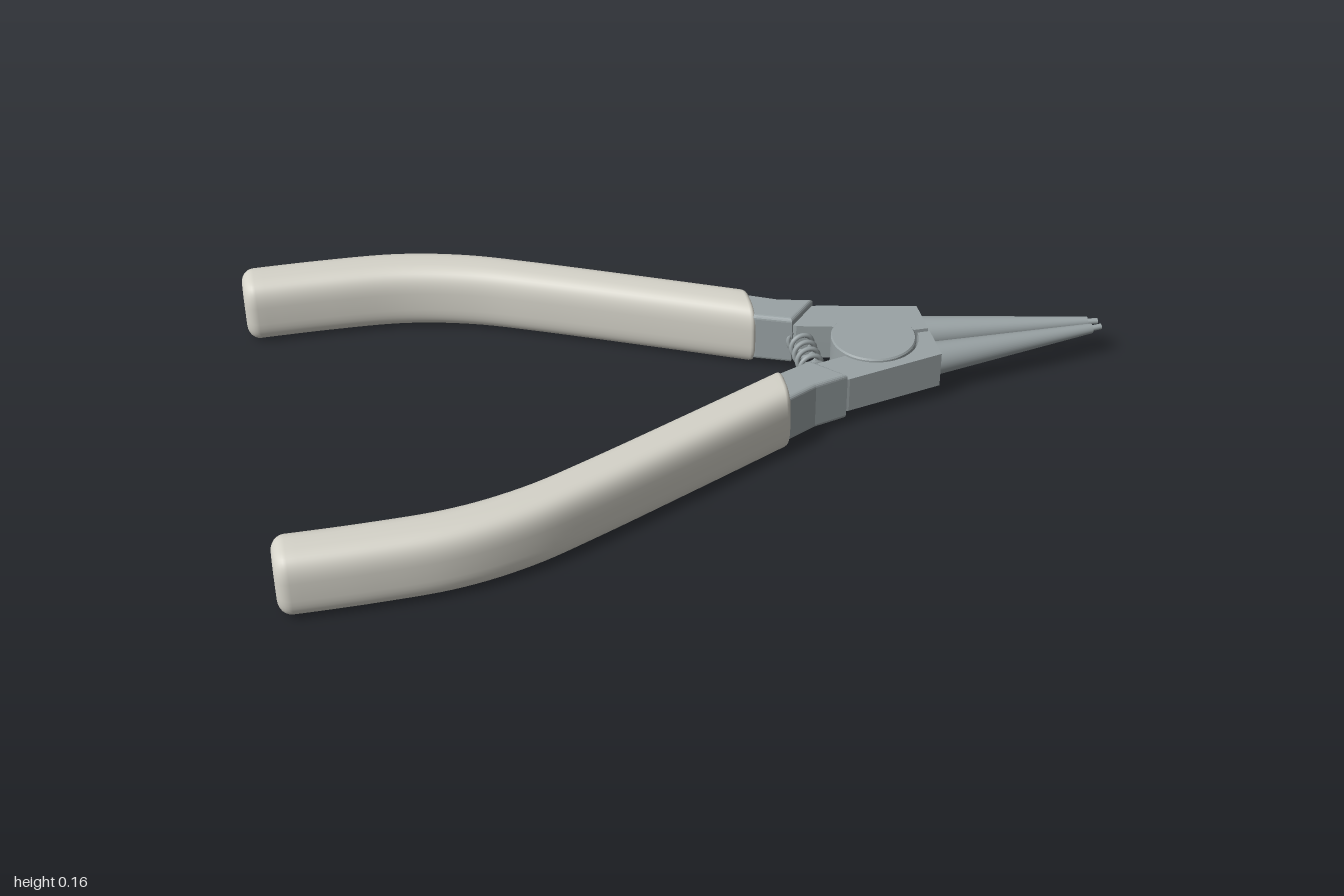
import * as THREE from 'three';

const MID = 0.082; // height of the joint's middle plane
const PIVOT_X = 0.436;
const gripMat = new THREE.MeshStandardMaterial({ color: 0xd6d4ca });
const metalMat = new THREE.MeshStandardMaterial({ color: 0x9aa3a5 });

function mesh(name, geometry, material = metalMat) {
  const m = new THREE.Mesh(geometry, material);
  m.name = name;
  return m;
}

// Plan outline (x, distance from the centre line) extruded upward from y0
function plate(shape, y0, height, bevel = 0) {
  const g = new THREE.ExtrudeGeometry(shape, {
    depth: height - 2 * bevel, curveSegments: 40, bevelEnabled: bevel > 0,
    bevelSize: bevel, bevelThickness: bevel, bevelOffset: -bevel, bevelSegments: 4,
  });
  g.rotateX(-Math.PI / 2);
  g.translate(0, y0 + bevel, 0);
  return g;
}

// Dipped sleeve: rounded sections swept along the handle, ends rounded over
function gripGeometry() {
  const path = new THREE.SplineCurve([
    [-1, 0.517], [-0.8, 0.517], [-0.62, 0.507], [-0.46, 0.468],
    [-0.3, 0.4], [-0.06, 0.286], [0.18, 0.17],
  ].map(([x, s]) => new THREE.Vector2(x, s)));
  const rings = []; // [path parameter, x shift, inset]
  const R0 = 0.03, R1 = 0.012, N = 48, SIDES = 48;
  for (let i = 0; i <= 6; i++) {
    const a = (i / 6) * Math.PI / 2;
    rings.push([0, R0 * (1 - Math.sin(a)), R0 * (1 - Math.sin(a)), R0 * (1 - Math.cos(a))]);
  }
  rings.length = 0;
  rings.push([0, 0, 1]);
  for (let i = 0; i <= 6; i++) {
    const a = (i / 6) * Math.PI / 2;
    rings.push([0, R0 * (1 - Math.sin(a)), R0 * (1 - Math.cos(a))].map((v, k) => (k ? [R0 * (1 - Math.cos(a)), R0 * (1 - Math.sin(a))][k - 1] : v)));
  }
  for (let i = 2; i < N - 1; i++) rings.push([i / N, 0, 0]);
  for (let i = 0; i <= 4; i++) {
    const a = (i / 4) * Math.PI / 2;
    rings.push([1, -R1 * (1 - Math.sin(a)), R1 * (1 - Math.cos(a))]);
  }
  rings.push([1, 0, 1]);

  const pos = [], index = [];
  const p = new THREE.Vector2();
  const pw = (v) => Math.sign(v) * Math.pow(Math.abs(v), 0.62);
  rings.forEach(([t, dx, inset], r) => {
    path.getPointAt(t, p);
    const slope = t === 1 ? -0.48 : 0;
    const w = Math.max(0.064 - inset, 0), h = Math.max(0.0815 - inset, 0);
    for (let j = 0; j < SIDES; j++) {
      const a = (j / SIDES) * Math.PI * 2;
      pos.push(p.x + dx, h * pw(Math.sin(a)), -(p.y + dx * slope) + w * pw(Math.cos(a)));
      if (r > 0) {
        const k = (j + 1) % SIDES, A = (r - 1) * SIDES, B = r * SIDES;
        index.push(A + j, B + j, A + k, A + k, B + j, B + k);
      }
    }
  });
  const g = new THREE.BufferGeometry();
  g.setAttribute('position', new THREE.Float32BufferAttribute(pos, 3));
  g.setIndex(index);
  g.computeVertexNormals();
  return g;
}

// Half of the lap joint; the arc is a lobe (clockwise) or a matching hollow
function jawShape(lobe) {
  const s = new THREE.Shape();
  s.moveTo(0.25, 0.1);
  s.lineTo(0.29, 0.155);
  s.lineTo(0.337, 0.154);
  s.lineTo(0.572, 0.102);
  s.lineTo(0.572, 0.006);
  s.absarc(PIVOT_X, 0, lobe ? 0.1 : 0.106, 0.06, Math.PI * 0.8, lobe);
  s.lineTo(0.27, 0.08);
  s.closePath();
  return s;
}

// Cone or pin between two points
function rod(name, from, to, r0, r1) {
  const dir = to.clone().sub(from);
  const m = mesh(name, new THREE.CylinderGeometry(r1, r0, dir.length(), 40));
  m.position.copy(from).addScaledVector(dir, 0.5);
  m.quaternion.setFromUnitVectors(new THREE.Vector3(0, 1, 0), dir.normalize());
  return m;
}

function buildHalf(name) {
  const half = new THREE.Group();
  half.name = name;
  half.add(mesh('grip', gripGeometry(), gripMat));

  // Shank running out of the grip, thicker than the jaw
  const shank = new THREE.Shape([
    [0.1, 0.253], [0.1, 0.16], [0.18, 0.115], [0.26, 0.082], [0.33, 0.158], [0.25, 0.18], [0.18, 0.215],
  ].map(([x, s]) => new THREE.Vector2(x, s)));
  half.add(mesh('shank', plate(shank, -0.062, 0.125, 0.01)));

  // Lapped jaw: lobe above, hollow below
  half.add(mesh('jawLobe', plate(jawShape(true), 0, 0.045)));
  half.add(mesh('jawHollow', plate(jawShape(false), -0.045, 0.045)));
  const disc = mesh('pivotDisc', new THREE.CylinderGeometry(0.097, 0.1, 0.004, 64));
  disc.position.set(PIVOT_X, 0.047, 0);
  half.add(disc);

  // Tapered needle nose with a thin pin at its tip
  const base = new THREE.Vector3(0.565, 0, -0.055);
  const tip = new THREE.Vector3(0.975, 0, -0.015);
  half.add(rod('needle', base, tip, 0.04, 0.012));
  half.add(rod('tipPin', tip, new THREE.Vector3(1, 0, -0.012), 0.007, 0.007));
  half.position.y = MID;
  return half;
}

export function createModel() {
  const model = new THREE.Group();
  model.name = 'pliers';
  const back = buildHalf('backHalf');
  const front = buildHalf('frontHalf');
  front.rotation.x = Math.PI; // the halves are turned copies of each other
  model.add(back, front);

  // Return spring between the shanks
  const pts = [];
  const turns = 7;
  for (let i = 0; i <= turns * 16; i++) {
    const a = (i / 16) * Math.PI * 2;
    pts.push(new THREE.Vector3(0.28 + 0.027 * Math.cos(a), MID + 0.027 * Math.sin(a), -0.1 + 0.2 * i / (turns * 16)));
  }
  model.add(mesh('spring', new THREE.TubeGeometry(new THREE.CatmullRomCurve3(pts), 280, 0.006, 8)));
  return model;
}
